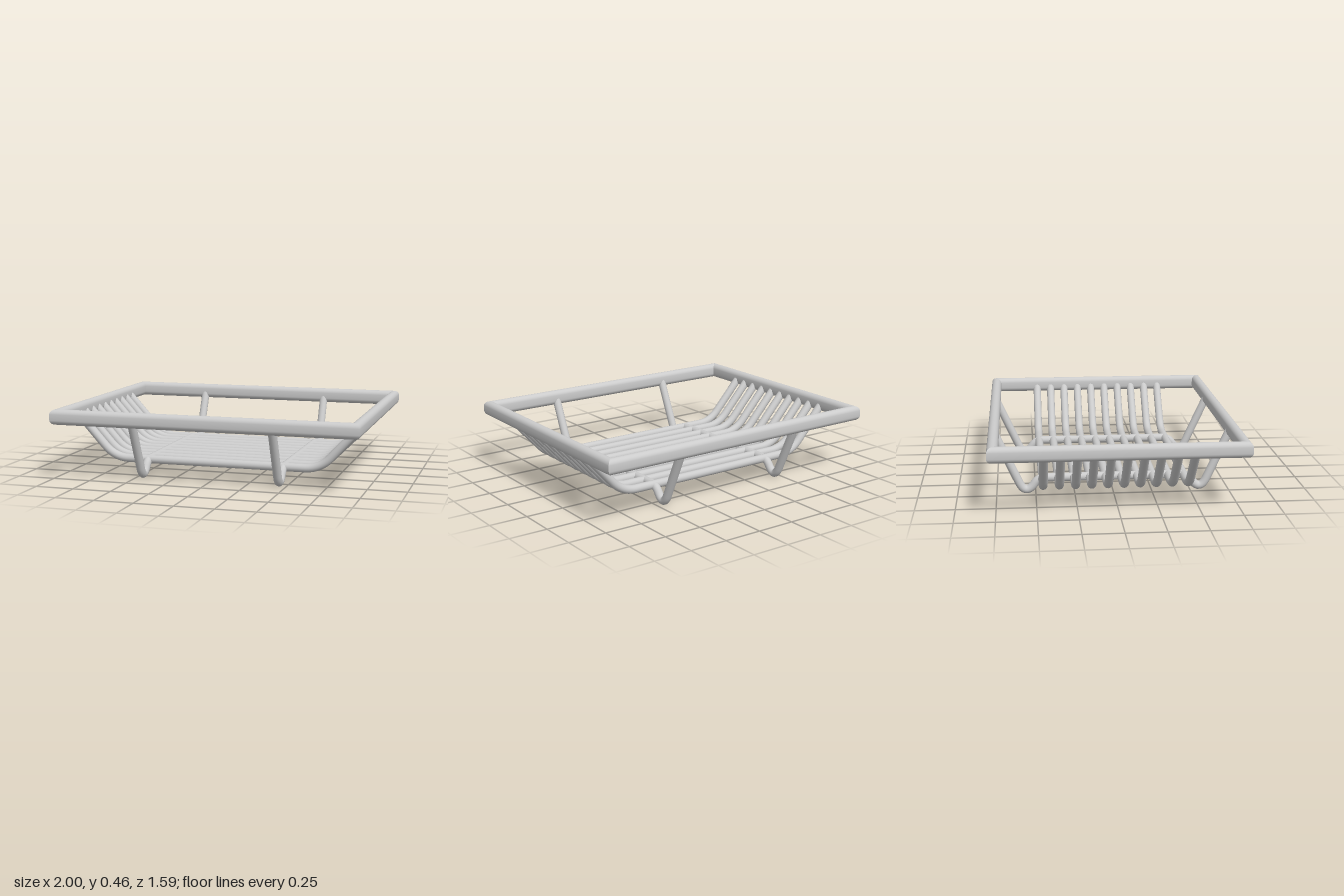
import * as THREE from 'three';

const material = new THREE.MeshStandardMaterial({ color: 0xcccccc });
const HALF_X = 1, HALF_Z = 0.795, RIM_Y = 0.412;
const RIM_R = 0.034, RIM_STRETCH = 0.016, WIRE_R = 0.0275;

// Polyline path whose inner corners are rounded; cuts[i] is the length trimmed beside corner i
function filletPath(points, cuts) {
  const path = new THREE.CurvePath();
  let from = points[0];
  for (let i = 1; i < points.length - 1; i++) {
    const p = points[i];
    const toward = (q) => q.clone().sub(p).setLength(cuts[i - 1]).add(p);
    const a = toward(points[i - 1]), b = toward(points[i + 1]);
    path.add(new THREE.LineCurve3(from, a));
    path.add(new THREE.QuadraticBezierCurve3(a, p, b));
    from = b;
  }
  path.add(new THREE.LineCurve3(from, points[points.length - 1]));
  return path;
}

// Wire bent symmetrically: half profile of [across, y] from the rim inward, then mirrored
function bentWire(half, halfCuts, toPoint, segments) {
  const points = [
    ...half.map(([s, y]) => toPoint(s, y)),
    ...half.slice().reverse().map(([s, y]) => toPoint(-s, y)),
  ];
  const cuts = [...halfCuts, ...halfCuts.slice().reverse()];
  return new THREE.TubeGeometry(filletPath(points, cuts), segments, WIRE_R, 16, false);
}

// Rim bar along x with an upright oval section and mitred ends; +z is its outer side
function rimBar(halfLength) {
  const sides = 32;
  const geo = new THREE.CylinderGeometry(RIM_R, RIM_R, 2, sides, 1, true, Math.PI / sides);
  geo.rotateZ(Math.PI / 2);
  const pos = geo.attributes.position;
  for (let i = 0; i < pos.count; i++) {
    const y = pos.getY(i), z = pos.getZ(i);
    pos.setX(i, Math.sign(pos.getX(i)) * (halfLength - RIM_R + z));
    pos.setY(i, y + Math.sign(y) * RIM_STRETCH);
  }
  return geo;
}

export function createModel() {
  const model = new THREE.Group();
  model.name = 'wireRack';
  const add = (name, geo, parent) => {
    const mesh = new THREE.Mesh(geo, material);
    mesh.name = name;
    parent.add(mesh);
    return mesh;
  };

  // Rectangular top rim
  const rim = new THREE.Group();
  rim.name = 'rim';
  model.add(rim);
  ['rimFront', 'rimLeft', 'rimBack', 'rimRight'].forEach((name, i) => {
    const along = i % 2 ? HALF_Z : HALF_X;
    const out = (i % 2 ? HALF_X : HALF_Z) - RIM_R;
    const bar = add(name, rimBar(along), rim);
    const angle = (i * Math.PI) / 2;
    bar.rotation.y = angle;
    bar.position.set(Math.sin(angle) * out, RIM_Y, Math.cos(angle) * out);
  });

  // Ten crosswise wires, rising to the rim at both ends
  const slats = new THREE.Group();
  slats.name = 'slats';
  model.add(slats);
  const slat = bentWire([[0.955, 0.4], [0.692, 0.11]], [0.1],
    (s, y) => new THREE.Vector3(s, y, 0), 96);
  for (let i = 0; i < 10; i++) {
    add('slat' + (i + 1), slat, slats).position.z = (i - 4.5) * 0.1015;
  }

  // Two lengthwise supports, dipping into feet at front and back
  const support = bentWire([[0.753, 0.4], [0.565, -0.01], [0.48, 0.11]], [0.1, 0.045],
    (s, y) => new THREE.Vector3(0, y, s), 160);
  add('leftSupport', support, model).position.x = 0.455;
  add('rightSupport', support, model).position.x = -0.455;

  return model;
}
